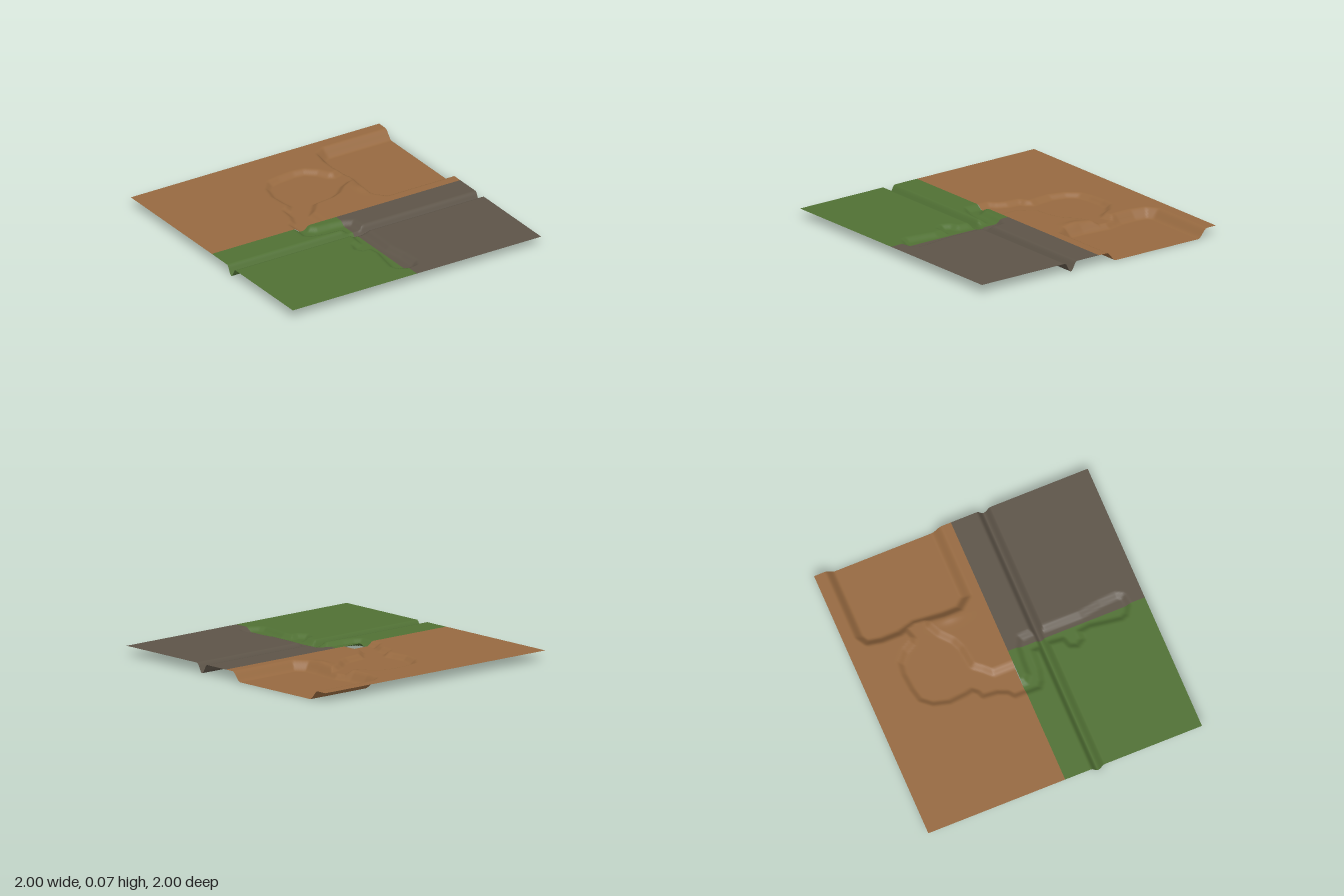
import * as THREE from 'three';

const TOP = 0.065;

// Bank centre lines as [x, z] outlines
const pit = [[1.5, -0.885], [0.49, -0.885], [0.43, -0.85], [0.41, -0.75], [0.41, -0.62], [0.44, -0.5],
  [0.42, -0.3], [0.42, -0.18], [0.48, -0.105], [1.5, -0.105]];
const upperRiver = [[0.5, -0.6], [0.4, -0.57], [0.34, -0.55], [0.31, -0.57], [0.27, -0.64], [0.2, -0.7],
  [0.12, -0.71], [0, -0.7], [-0.09, -0.68], [-0.15, -0.61], [-0.18, -0.5], [-0.17, -0.38], [-0.16, -0.33],
  [-0.19, -0.295], [-0.23, -0.28], [-0.24, -0.18], [-0.27, -0.11], [-0.31, -0.08], [-0.31, 0.2],
  [-0.1, 0.2], [-0.1, -0.15], [-0.05, -0.2], [0, -0.26], [0.15, -0.28], [0.22, -0.31], [0.3, -0.38],
  [0.38, -0.42], [0.5, -0.42]];
const lowerRiver = [[-0.31, -0.2], [-0.32, 0.1], [-0.28, 0.13], [-0.2, 0.15], [-0.06, 0.16], [-0.05, 0.3],
  [-0.06, 0.38], [-0.12, 0.4], [-0.14, 0.45], [-0.11, 0.5], [-0.05, 0.5], [-0.04, 0.58], [-0.06, 0.7],
  [-0.075, 0.8], [-0.06, 0.84], [0, 0.88], [0.07, 0.87], [0.09, 0.83], [0.08, 0.7], [0.055, 0.55],
  [0.06, 0.3], [0.07, 0.2], [0.06, 0.11], [0, 0.08], [-0.1, 0.07], [-0.2, 0.065], [-0.24, 0.03],
  [-0.24, -0.2]];

// Signed distance to an outline, positive inside
function insideDistance(poly, x, z) {
  let best = Infinity, inside = false;
  poly.forEach(([ax, az], i) => {
    const [bx, bz] = poly[(i + 1) % poly.length];
    const dx = bx - ax, dz = bz - az;
    const t = THREE.MathUtils.clamp(((x - ax) * dx + (z - az) * dz) / (dx * dx + dz * dz), 0, 1);
    best = Math.min(best, Math.hypot(x - ax - t * dx, z - az - t * dz));
    if ((az > z) !== (bz > z) && x < ax + (z - az) / dz * dx) inside = !inside;
  });
  return inside ? best : -best;
}

// Blend of a smooth and a straight bank, 0 outside to 1 on the floor
function bank(distance, width) {
  const t = THREE.MathUtils.clamp(distance / width + 0.5, 0, 1);
  return 0.5 * t + 0.5 * t * t * (3 - 2 * t);
}

function backHeight(x, z) {
  const cut = Math.max(0.065 * bank(insideDistance(pit, x, z), 0.065),
    0.03 * bank(insideDistance(upperRiver, x, z), 0.045));
  const mound = 0.01 * Math.exp(-(((x - 0.37) / 0.03) ** 2) - ((z + 0.27) / 0.07) ** 2);
  return TOP - cut + mound;
}

function frontHeight(x, z) {
  const trench = 0.065 * bank(0.026 - Math.abs(z - 0.24), 0.042);
  return TOP - Math.max(trench, 0.03 * bank(insideDistance(lowerRiver, x, z), 0.045));
}

// Rectangular ground sheet shaped by a height rule
function sheet(name, material, x0, x1, z0, z1, height) {
  const w = x1 - x0, d = z1 - z0;
  const geo = new THREE.PlaneGeometry(w, d, Math.round(w * 80), Math.round(d * 100));
  geo.rotateX(-Math.PI / 2);
  geo.translate((x0 + x1) / 2, 0, (z0 + z1) / 2);
  const p = geo.attributes.position;
  for (let i = 0; i < p.count; i++) p.setY(i, Math.max(0, height(p.getX(i), p.getZ(i))));
  geo.computeVertexNormals();
  const mesh = new THREE.Mesh(geo, material);
  mesh.name = name;
  return mesh;
}

export function createModel() {
  const mat = (name, color) => {
    const m = new THREE.MeshStandardMaterial({ color, side: THREE.DoubleSide });
    m.name = name;
    return m;
  };
  const group = new THREE.Group();
  group.name = 'terrain';
  group.add(
    sheet('earthGround', mat('brown earth', 0x966940), -1, 1, -1, 0, backHeight),
    sheet('grassGround', mat('green grass', 0x507034), -1, 0, 0, 1, frontHeight),
    sheet('stoneGround', mat('grey stone', 0x5d5448), 0, 1, 0, 1, frontHeight));
  return group;
}
